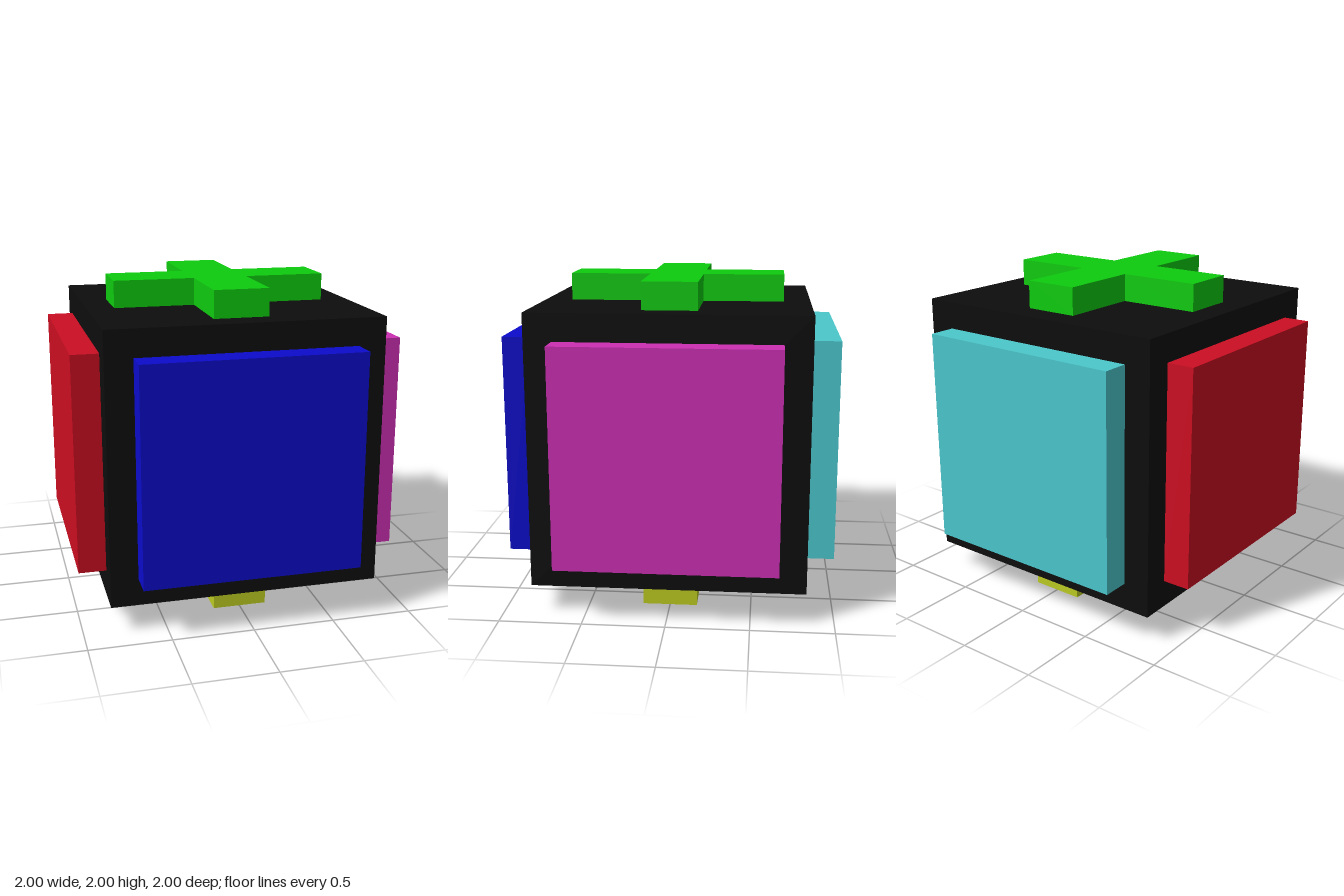
import * as THREE from 'three';

const CORE = 5 / 3;    // edge of the central cube
const PLATE = 4 / 3;   // edge of a face plate and span of a cross
const DEPTH = 1 / 6;   // how far plates and crosses stand out
const ARM = 1 / 6;     // half width of a cross arm

function material(name, color) {
  const m = new THREE.MeshStandardMaterial({ color });
  m.name = name;
  return m;
}

function crossGeometry() {
  const a = ARM, b = PLATE / 2;
  const outline = [[a, a], [a, b], [-a, b], [-a, a], [-b, a], [-b, -a],
    [-a, -a], [-a, -b], [a, -b], [a, -a], [b, -a], [b, a]];
  const shape = new THREE.Shape(outline.map(([x, y]) => new THREE.Vector2(x, y)));
  const g = new THREE.ExtrudeGeometry(shape, { depth: DEPTH, bevelEnabled: false });
  return g.rotateX(-Math.PI / 2);
}

export function createModel() {
  const model = new THREE.Group();
  model.name = 'cube';

  const add = (name, geometry, mat, x, y, z) => {
    const mesh = new THREE.Mesh(geometry, mat);
    mesh.name = name;
    mesh.position.set(x, y, z);
    model.add(mesh);
    return mesh;
  };

  // Central cube
  add('core', new THREE.BoxGeometry(CORE, CORE, CORE), material('black', 0x0d0d0d), 0, 1, 0);

  // Square plates on the four sides, turned about the vertical axis
  const plate = new THREE.BoxGeometry(PLATE, PLATE, DEPTH);
  const offset = (CORE + DEPTH) / 2;
  [
    ['frontPlate', material('blue', 0x0c0ccc)],
    ['leftPlate', material('magenta', 0xcc2eb2)],
    ['backPlate', material('cyan', 0x4bc7cc)],
    ['rightPlate', material('red', 0xcc0e22)],
  ].forEach(([name, mat], i) => {
    const angle = i * Math.PI / 2;
    add(name, plate, mat, Math.sin(angle) * offset, 1, Math.cos(angle) * offset).rotation.y = angle;
  });

  // Raised crosses on the top and bottom
  const cross = crossGeometry();
  add('topCross', cross, material('green', 0x0ecc0e), 0, 1 + CORE / 2, 0);
  add('bottomCross', cross, material('yellow', 0xbccb22), 0, 0, 0);

  return model;
}
